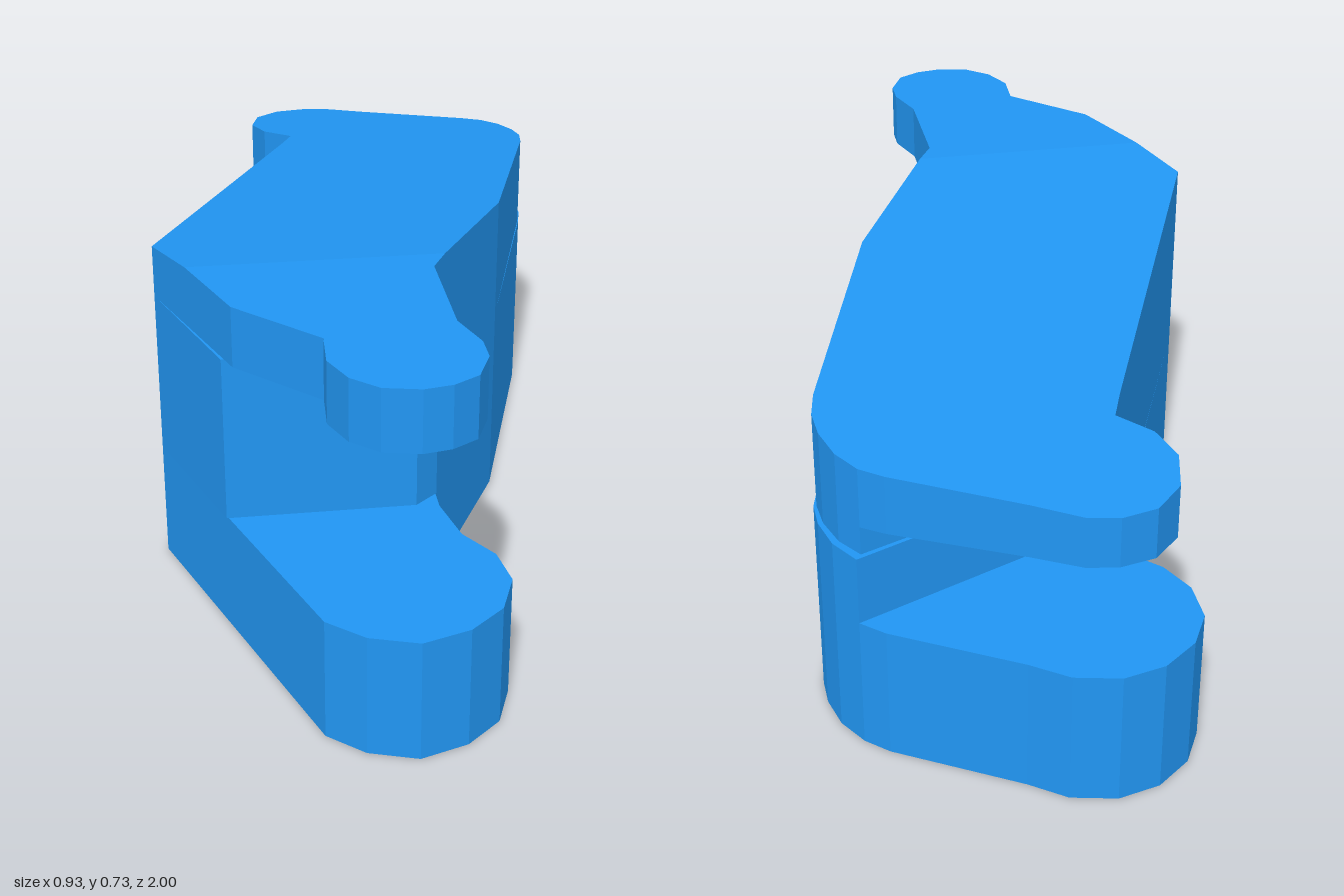
import * as THREE from 'three';

// Plan outlines are lists of [x, z] corners
const leftCorner = [-0.465, 0.22], rightCorner = [0.285, 0.03];
const creaseZ = 0.37;
const creaseRight = [0.107, creaseZ], creaseLeft = [-0.406, creaseZ];
const rightWaist = [0.075, 0.43];
const rearNeck = [-0.125, -0.59];

// Rounded rear shoulder: wide below the step, slightly tighter above it
const wideShoulder = [[0.45, -0.5], [0.464, -0.56], [0.462, -0.62], [0.443, -0.69], [0.405, -0.75]];
const tightShoulder = [[0.448, -0.5], [0.458, -0.56], [0.452, -0.62], [0.43, -0.685], [0.395, -0.735]];

const frontFoot = [
  leftCorner, rightCorner, rightWaist, [0.075, 0.54], [0.10, 0.65], [0.152, 0.73], [0.165, 0.82],
  [0.13, 0.91], [0.06, 0.97], [-0.035, 1], [-0.13, 0.97], [-0.20, 0.91],
];
const rearFoot = [
  leftCorner, rightCorner, ...wideShoulder, [0.36, -0.79], [0.12, -0.93], [0.05, -0.98], [-0.04, -1],
  [-0.125, -0.98], [-0.195, -0.925], [-0.235, -0.85], [-0.235, -0.76], [-0.20, -0.685],
  [-0.14, -0.625], rearNeck,
];
const frontHead = [
  creaseLeft, creaseRight, rightWaist, [0.075, 0.68], [0.105, 0.77], [0.105, 0.83], [0.075, 0.9],
  [0.025, 0.93], [-0.03, 0.94], [-0.1, 0.925], [-0.15, 0.88], [-0.18, 0.81], [-0.175, 0.72],
  [-0.33, 0.565],
];
const rearHead = [
  leftCorner, creaseLeft, creaseRight, rightCorner, ...tightShoulder, [0.35, -0.765], [0.11, -0.885],
  [0.02, -0.935], [-0.04, -0.945], [-0.11, -0.93], [-0.165, -0.875], [-0.185, -0.79],
  [-0.16, -0.715], [-0.1, -0.655], rearNeck,
];
// Web between the two slots
const core = (shoulder) => [
  leftCorner, [-0.35, 0.53], [0.03, 0.53], [0.077, 0.49], rightWaist, rightCorner,
  ...shoulder, [-0.16, -0.505],
];

// Top surface: level at the front, falling towards the rear
const topHeight = (z) => 0.73 - 0.103 * Math.max(0, creaseZ - z);

function createSlab(name, outline, bottom, top, material, sloped = false) {
  const shape = new THREE.Shape(outline.map(([x, z]) => new THREE.Vector2(x, -z)));
  const geometry = new THREE.ExtrudeGeometry(shape, { depth: top - bottom, bevelEnabled: false });
  geometry.rotateX(-Math.PI / 2).translate(0, bottom, 0);
  if (sloped) {
    const p = geometry.attributes.position;
    for (let i = 0; i < p.count; i++) {
      if (p.getY(i) > (bottom + top) / 2) p.setY(i, topHeight(p.getZ(i)));
    }
    geometry.computeVertexNormals();
  }
  const mesh = new THREE.Mesh(geometry, material);
  mesh.name = name;
  return mesh;
}

export function createModel() {
  const material = new THREE.MeshStandardMaterial({ color: 0x2196f3, flatShading: true });
  const group = new THREE.Group();
  group.name = 'slottedLink';
  group.add(
    createSlab('frontLowerLug', frontFoot, 0, 0.255, material),
    createSlab('rearLowerLug', rearFoot, 0, 0.285, material),
    createSlab('lowerWeb', core(wideShoulder), 0.255, 0.43, material),
    createSlab('upperWeb', core(tightShoulder), 0.43, 0.605, material),
    createSlab('frontUpperLug', frontHead, 0.605, 0.73, material),
    createSlab('rearUpperLug', rearHead, 0.49, 0.73, material, true),
  );
  return group;
}
